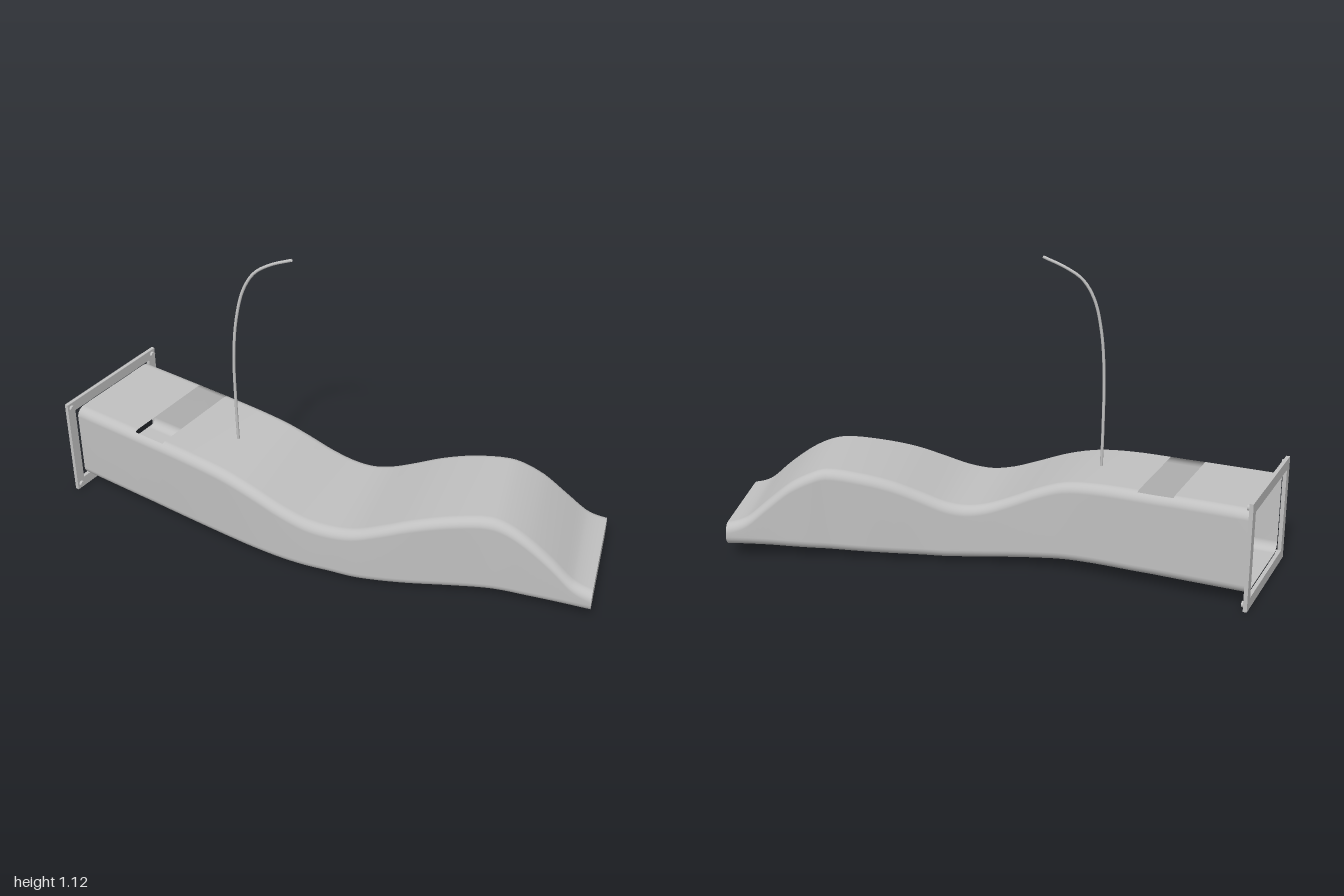
import * as THREE from 'three';

const metal = new THREE.MeshStandardMaterial({ color: 0xc0c0c0, side: THREE.DoubleSide });
metal.name = 'grey metal';

// duct stations: back x, back z, front x, front z, bottom y, top y
const STATIONS = [
  [-0.985, -0.025, -0.985, 0.388, 0.045, 0.352],
  [-0.71, -0.025, -0.71, 0.388, 0.044, 0.351],
  [-0.645, -0.025, -0.645, 0.388, 0.044, 0.35],
  [-0.58, -0.025, -0.58, 0.388, 0.043, 0.35],
  [-0.43, -0.025, -0.43, 0.388, 0.042, 0.347],
  [-0.31, -0.03, -0.3, 0.384, 0.038, 0.335],
  [-0.22, -0.045, -0.18, 0.376, 0.032, 0.305],
  [-0.12, -0.068, -0.06, 0.36, 0.025, 0.26],
  [-0.04, -0.092, 0.03, 0.34, 0.02, 0.23],
  [0.03, -0.115, 0.11, 0.316, 0.017, 0.219],
  [0.1, -0.14, 0.2, 0.292, 0.015, 0.23],
  [0.18, -0.168, 0.29, 0.258, 0.017, 0.262],
  [0.27, -0.205, 0.39, 0.212, 0.02, 0.3],
  [0.38, -0.25, 0.51, 0.15, 0.025, 0.33],
  [0.5, -0.292, 0.63, 0.092, 0.03, 0.343],
  [0.55, -0.315, 0.69, 0.072, 0.033, 0.328],
  [0.62, -0.342, 0.76, 0.055, 0.036, 0.29],
  [0.7, -0.372, 0.85, 0.033, 0.04, 0.22],
  [0.77, -0.402, 0.92, 0.017, 0.043, 0.155],
  [0.805, -0.417, 0.955, 0.009, 0.044, 0.137],
  [0.843, -0.434, 0.993, 0, 0.045, 0.127],
];
const STEPS = 4, CORNER = 6, RADIUS = 0.035;

// rounded rectangle across the duct, counter-clockwise as seen from +x
function ring(back, front) {
  const mid = back.clone().add(front).multiplyScalar(0.5);
  const across = back.clone().sub(front).setY(0);
  const half = across.length() / 2 - RADIUS;
  across.normalize();
  const pts = [];
  for (let k = 0; k < 4; k++) {
    const cu = (k === 0 || k === 3 ? 1 : -1) * half;
    const cy = k < 2 ? front.y - RADIUS : back.y + RADIUS;
    for (let i = 0; i <= CORNER; i++) {
      const a = (k + i / CORNER) * Math.PI / 2;
      const p = mid.clone().addScaledVector(across, cu + RADIUS * Math.cos(a));
      pts.push(p.setY(cy + RADIUS * Math.sin(a)));
    }
  }
  return pts;
}

function surface(points, index) {
  const g = new THREE.BufferGeometry().setFromPoints(points);
  g.setIndex(index);
  g.computeVertexNormals();
  return g;
}

export function createModel() {
  const model = new THREE.Group();
  const add = (name, geometry, x = 0, y = 0, z = 0) => {
    const m = new THREE.Mesh(geometry, metal);
    m.name = name;
    m.position.set(x, y, z);
    model.add(m);
    return m;
  };

  // hollow winding duct
  const backCurve = new THREE.CatmullRomCurve3(STATIONS.map(s => new THREE.Vector3(s[0], s[4], s[1])));
  const frontCurve = new THREE.CatmullRomCurve3(STATIONS.map(s => new THREE.Vector3(s[2], s[5], s[3])));
  const count = (STATIONS.length - 1) * STEPS;
  const rings = [];
  for (let i = 0; i <= count; i++) rings.push(ring(backCurve.getPoint(i / count), frontCurve.getPoint(i / count)));
  const n = rings[0].length, index = [];
  for (let i = 0; i < count; i++) {
    const span = Math.floor(i / STEPS);
    for (let j = 0; j < n; j++) {
      // wide slot in the top, narrow slot in the bottom
      const topSlot = (span === 1 || span === 2) && j >= 4 && j <= 8;
      const bottomSlot = span === 2 && j >= 18 && j <= 22;
      if (topSlot || bottomSlot) continue;
      const a = i * n + j, b = i * n + (j + 1) % n;
      index.push(a, b, b + n, a, b + n, a + n);
    }
  }
  add('duct', surface(rings.flat(), index));

  // closed far end
  const last = rings[count], fan = [];
  for (let j = 1; j < n - 1; j++) fan.push(0, j, j + 1);
  add('endCap', surface(last, fan));

  // flange frame round the open end
  const x = -0.992, t = 0.014, zMid = 0.187;
  for (const y of [0.02, 0.374]) add('flangeRail', new THREE.BoxGeometry(t, 0.04, 0.494), x, y, zMid);
  for (const z of [-0.042, 0.416]) add('flangePost', new THREE.BoxGeometry(t, 0.316, 0.036), x, 0.197, z);

  // corner bolts
  for (const y of [0.02, 0.374]) for (const z of [-0.042, 0.416]) {
    add('bolt', new THREE.CylinderGeometry(0.011, 0.011, 0.022, 12), -0.987, y, z).rotation.z = Math.PI / 2;
  }

  // thin bent wire
  const path = new THREE.CatmullRomCurve3([
    [-0.375, 0.335, 0.183], [-0.377, 0.5, 0.184], [-0.375, 0.7, 0.184], [-0.365, 0.85, 0.173],
    [-0.343, 0.965, 0.155], [-0.305, 1.035, 0.138], [-0.25, 1.075, 0.12], [-0.17, 1.11, 0.102],
  ].map(p => new THREE.Vector3(...p)));
  add('wire', new THREE.TubeGeometry(path, 48, 0.0055, 10));

  return model;
}
